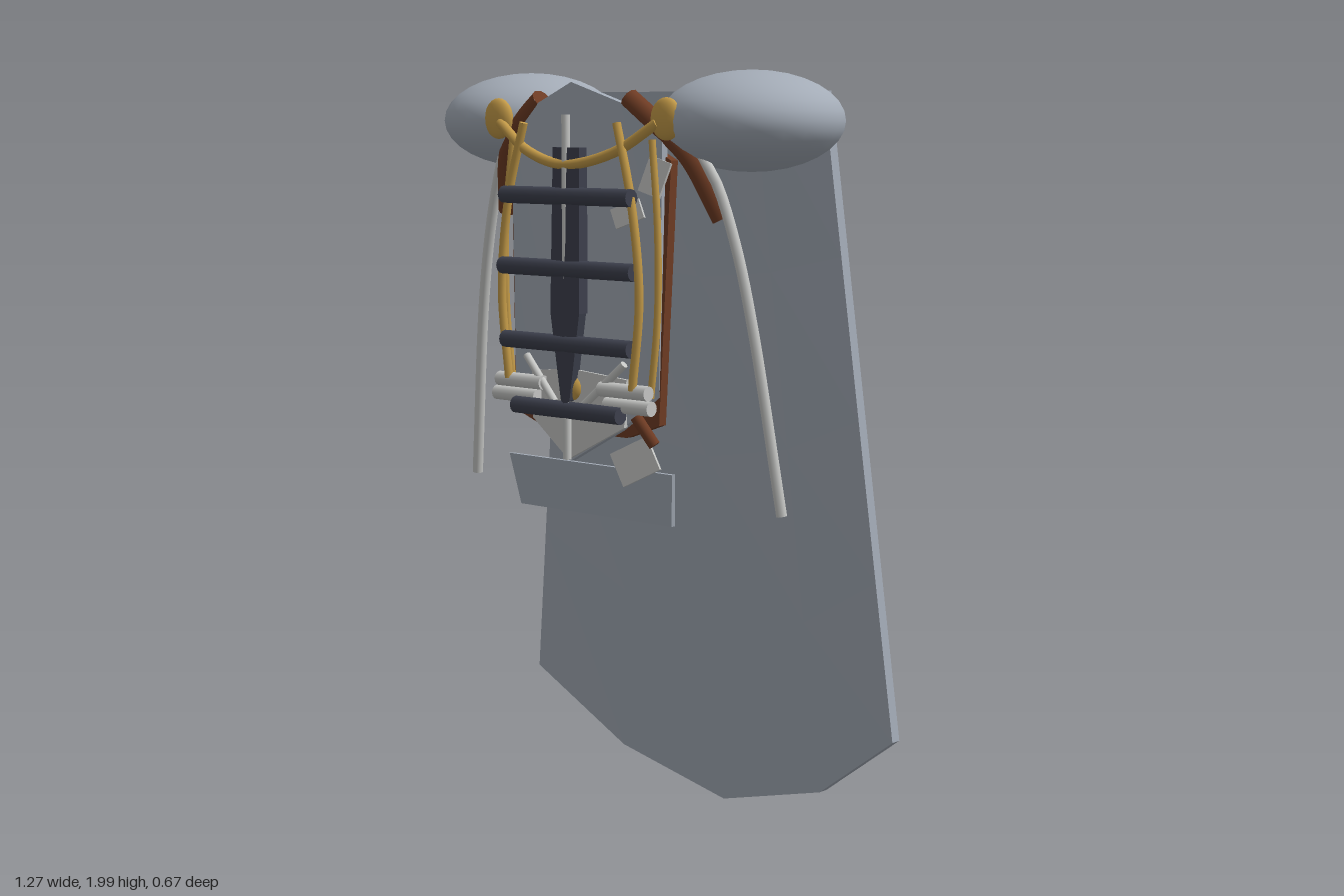
import * as THREE from 'three';

const mat = (name, color, side = THREE.FrontSide) => {
  const m = new THREE.MeshStandardMaterial({ color, side });
  m.name = name;
  return m;
};
const V = (p) => new THREE.Vector3(...p);
const flip = (p) => [-p[0], p[1], p[2]];

// Solid sheet with flat facets: columns run from -x to +x, each [top, bottom]
function slab(columns, depth, rows = 1) {
  const at = (i, j, back) => {
    const p = V(columns[i][0]).lerp(V(columns[i][1]), j / rows);
    p.z -= back ? depth : 0;
    return p;
  };
  const pos = [];
  const quad = (a, b, c, d) => [a, b, c, a, c, d].forEach((p) => pos.push(p.x, p.y, p.z));
  const n = columns.length - 1;
  for (let i = 0; i < n; i++) {
    for (let j = 0; j < rows; j++) {
      quad(at(i, j), at(i, j + 1), at(i + 1, j + 1), at(i + 1, j));
      quad(at(i + 1, j, 1), at(i + 1, j + 1, 1), at(i, j + 1, 1), at(i, j, 1));
    }
  }
  // rim, clockwise around the outline
  const rim = [];
  for (let i = 0; i < n; i++) rim.push([i, 0]);
  for (let j = 0; j < rows; j++) rim.push([n, j]);
  for (let i = n; i > 0; i--) rim.push([i, rows]);
  for (let j = rows; j > 0; j--) rim.push([0, j]);
  rim.forEach(([i, j], k) => {
    const [a, b] = rim[(k + 1) % rim.length];
    quad(at(i, j), at(a, b), at(a, b, 1), at(i, j, 1));
  });
  const g = new THREE.BufferGeometry();
  g.setAttribute('position', new THREE.Float32BufferAttribute(pos, 3));
  g.computeVertexNormals();
  return g;
}

// Complete a half list of columns (outermost +x first, centre last)
const mirrored = (half) => [
  ...half.map((c) => c.map(flip)),
  ...half.slice(0, -1).reverse(),
];

export function createModel() {
  const steel = mat('steel', 0xa3abb6);
  const pale = mat('pale metal', 0xc6c7c5);
  const brown = mat('brown leather', 0x6f3c24);
  const gold = mat('gold', 0xc39a48);
  const dark = mat('dark bars', 0x3d404d);

  const root = new THREE.Group();
  const add = (name, geo, material, p = [0, 0, 0]) => {
    const m = new THREE.Mesh(geo, material);
    m.name = name;
    m.position.set(...p);
    root.add(m);
    return m;
  };
  // Straight rod between two points
  const rod = (name, a, b, r, material) => {
    const d = V(b).sub(V(a));
    const m = add(name, new THREE.CylinderGeometry(r, r, d.length(), 12), material);
    m.position.copy(V(a).add(V(b)).multiplyScalar(0.5));
    m.quaternion.setFromUnitVectors(new THREE.Vector3(0, 1, 0), d.normalize());
    return m;
  };
  // Bent round tube with closed ends
  const tube = (name, pts, r, material) => {
    const curve = new THREE.CatmullRomCurve3(pts.map(V));
    add(name, new THREE.TubeGeometry(curve, 24, r, 10), material);
    for (const t of [0, 1]) {
      const cap = add(name + 'End', new THREE.CircleGeometry(r, 10), material);
      cap.position.copy(curve.getPoint(t));
      cap.lookAt(cap.position.clone().addScaledVector(curve.getTangent(t), t ? 1 : -1));
    }
  };

  // Cape, spreading and bowing backward towards the pointed hem
  add('cape', slab(mirrored([
    [[0.445, 1.95, -0.145], [0.635, 0.3, -0.215]],
    [[0.22, 1.95, -0.145], [0.355, 0.1, -0.275]],
    [[0, 1.95, -0.145], [0, 0.005, -0.3]],
  ]), 0.03, 4), steel);
  rod('capeRib', [0, 1.82, -0.186], [0, 0.2, -0.316], 0.011, pale);

  for (const s of [1, -1]) {
    const side = s > 0 ? 'left' : 'right';
    const m = (p) => [p[0] * s, p[1], p[2]];
    rod(side + 'CapeRib', m([0.23, 1.82, -0.184]), m([0.375, 0.2, -0.296]), 0.011, pale);

    // Shoulder dome
    add(side + 'Pauldron', new THREE.SphereGeometry(1, 24, 16), steel, m([0.38, 1.875, 0.055]))
      .scale.set(0.228, 0.124, 0.235);

    // Hanging arm tube and shoulder strap
    tube(side + 'ArmTube', [[0.34, 1.79, 0.2], [0.375, 1.73, 0.185], [0.425, 1.58, 0.17],
      [0.468, 1.38, 0.155], [0.535, 0.92, 0.12]].map(m), 0.014, pale);
    tube(side + 'Strap', [[0.15, 1.93, 0.25], [0.23, 1.87, 0.24], [0.31, 1.79, 0.21],
      [0.37, 1.64, 0.155]].map(m), 0.026, brown);

    // Gold clasp and the bowed rail beside the bars
    add(side + 'Clasp', new THREE.SphereGeometry(1, 16, 12), gold, m([0.288, 1.88, 0.267]))
      .scale.set(0.047, 0.052, 0.023);
    tube(side + 'Rail', [[0.16, 1.87, 0.305], [0.212, 1.68, 0.31], [0.238, 1.45, 0.31],
      [0.215, 1.22, 0.31]].map(m), 0.011, gold);
    tube(side + 'OuterRail', [[0.24, 1.83, 0.265], [0.262, 1.62, 0.27], [0.262, 1.4, 0.27],
      [0.24, 1.2, 0.27]].map(m), 0.009, gold);

    // Paired clamps at the waist
    for (const [y, x0, x1] of [[1.215, 0.1, 0.26], [1.178, 0.12, 0.27]]) {
      rod(side + 'Clamp', m([x0, y, 0.3]), m([x1, y, 0.3]), 0.019, pale);
    }
    // Slanted braces under the bars
    rod(side + 'Brace', m([0.05, 1.17, 0.31]), m([0.17, 1.28, 0.29]), 0.01, pale);
  }

  // Ridged breastplate over a leather backing
  add('breastplate', slab(mirrored([
    [[0.26, 1.88, 0.25], [0.25, 1.2, 0.25]],
    [[0.14, 1.92, 0.272], [0.14, 1.11, 0.275]],
    [[0, 1.97, 0.298], [0, 1.025, 0.305]],
  ]), 0.02, 2), steel);
  add('leatherBacking', slab(mirrored([
    [[0.275, 1.78, 0.235], [0.25, 1.13, 0.25]],
    [[0.14, 1.85, 0.245], [0.14, 1.09, 0.25]],
    [[0, 1.87, 0.25], [0, 1.09, 0.25]],
  ]), 0.025), brown);
  add('lowerPlate', slab(mirrored([
    [[0.165, 1.24, 0.277], [0.16, 1.12, 0.28]],
    [[0, 1.26, 0.31], [0, 1.03, 0.315]],
  ]), 0.012), pale);

  // Belt panel tilting back below the breastplate
  add('beltPanel', slab([
    [[-0.285, 1.01, 0.242], [-0.265, 0.875, 0.22]],
    [[0.285, 1.01, 0.242], [0.265, 0.875, 0.22]],
  ], 0.012), steel);

  // Loose shards and a torn strap
  const shard = (name, p, w, h, turn) => {
    add(name, new THREE.BoxGeometry(w, h, 0.01), pale, p).rotation.set(-0.1, 0.3, turn);
  };
  shard('hangingShard', [0.18, 1.035, 0.26], 0.11, 0.09, 0.5);
  shard('upperShard', [0.17, 1.65, 0.276], 0.08, 0.05, 0.4);
  shard('sideShard', [0.245, 1.74, 0.26], 0.06, 0.09, -0.3);
  rod('tornStrap', [0.19, 1.15, 0.27], [0.235, 1.08, 0.25], 0.015, brown);

  // Dark centre strip, pale spine and gold boss
  add('centreStrip', slab(mirrored([
    [[0.045, 1.81, 0.318], [0.05, 1.4, 0.325]],
    [[0, 1.81, 0.325], [0, 1.4, 0.33]],
  ]), 0.03), dark);
  add('centreStripTip', slab(mirrored([
    [[0.05, 1.4, 0.325], [0.015, 1.18, 0.325]],
    [[0, 1.4, 0.33], [0, 1.17, 0.33]],
  ]), 0.025), dark);
  rod('spine', [0, 1.89, 0.318], [0, 1.03, 0.318], 0.011, pale);
  add('boss', new THREE.SphereGeometry(0.037, 16, 12), gold, [0, 1.21, 0.3]).scale.z = 0.6;

  // Four dark cross bars
  for (const [y, half] of [[1.69, 0.22], [1.51, 0.228], [1.322, 0.22], [1.155, 0.183]]) {
    rod('crossBar', [-half, y, 0.318], [half, y, 0.318], 0.022, dark);
  }

  // Gold chain drooping between the clasps
  tube('chain', [[-0.27, 1.87, 0.28], [-0.15, 1.8, 0.302], [0, 1.768, 0.318],
    [0.15, 1.8, 0.302], [0.27, 1.87, 0.28]], 0.013, gold);

  return root;
}
